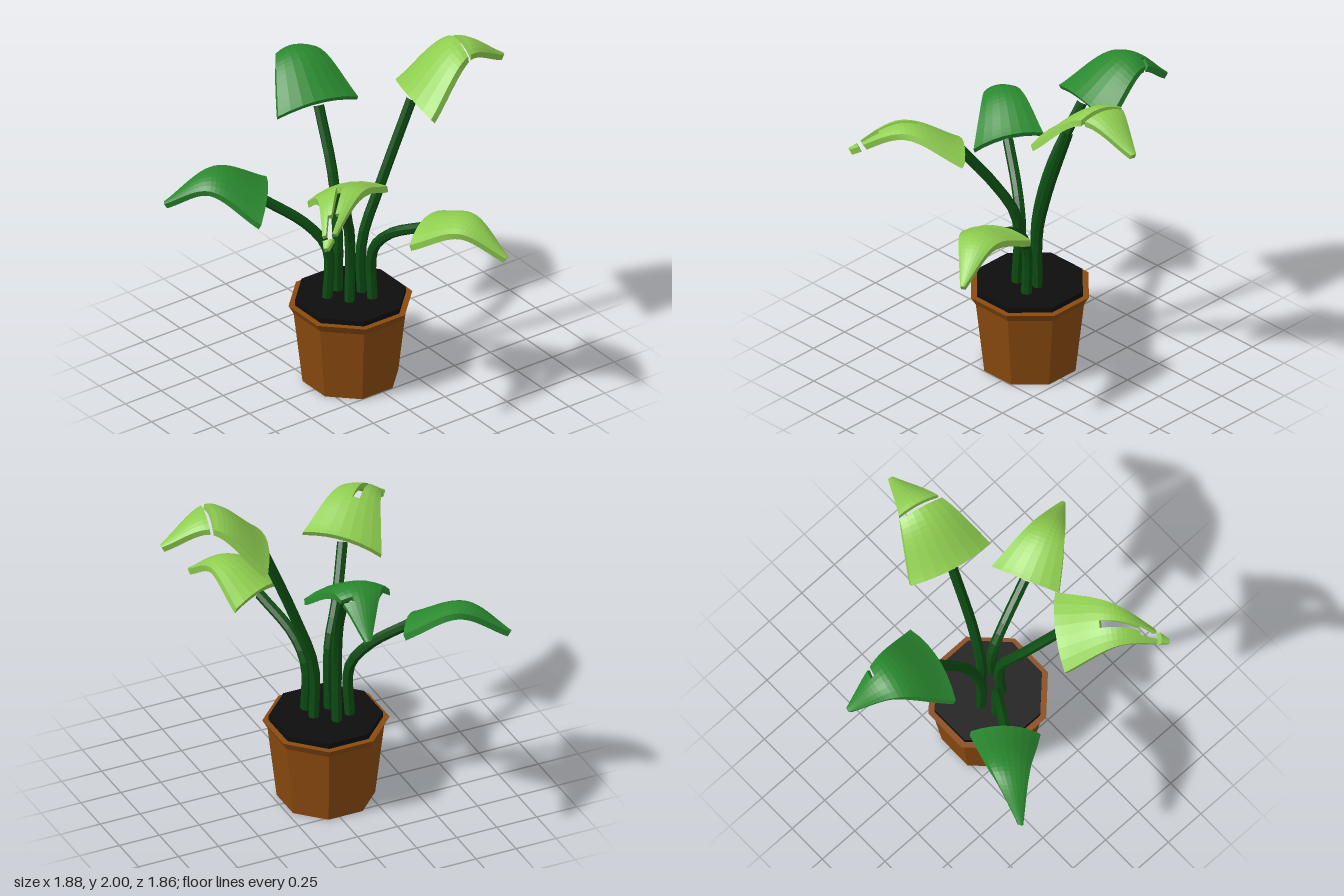
import * as THREE from 'three';

const mat = (name, color) => {
  const m = new THREE.MeshStandardMaterial({ color, flatShading: true });
  m.name = name;
  return m;
};
const curveOf = (...pts) => new THREE.CatmullRomCurve3(pts.map((p) => new THREE.Vector3(...p)));

// Arched, bent, tapering blade with thickness; skip(t, s) leaves tears in it
function leafGeometry({ base, peak, tip, half, skip = () => false }) {
  const rows = 24, cols = 7, thick = 0.018;
  const curve = curveOf(base, peak, tip);
  const side = new THREE.Vector3(...half);
  const width = side.length();
  const point = (i, j, face) => {
    const t = i / rows, s = (j / cols) * 2 - 1;
    const taper = 0.94 * (1 - t) + 0.06;
    const normal = side.clone().cross(curve.getTangent(t)).normalize();
    const lift = 0.28 * width * taper * (0.55 - s * s) + face * thick;
    return curve.getPoint(t).addScaledVector(side, s * taper).addScaledVector(normal, lift);
  };
  const solid = (i, j) => i >= 0 && j >= 0 && i < rows && j < cols
    && !skip((i + 0.5) / rows, ((j + 0.5) / cols) * 2 - 1);
  const pos = [];
  const quad = (a, b, c, d) => {
    for (const p of [a, b, c, a, c, d]) pos.push(p.x, p.y, p.z);
  };
  for (let i = 0; i < rows; i++) for (let j = 0; j < cols; j++) {
    if (!solid(i, j)) continue;
    const ring = [[i, j], [i, j + 1], [i + 1, j + 1], [i + 1, j]];
    const up = ring.map(([a, b]) => point(a, b, 1));
    const low = ring.map(([a, b]) => point(a, b, -1));
    quad(...up);
    quad(low[3], low[2], low[1], low[0]);
    // rim walls wherever the neighbouring cell is missing
    [[-1, 0], [0, 1], [1, 0], [0, -1]].forEach(([di, dj], k) => {
      const n = (k + 1) % 4;
      if (!solid(i + di, j + dj)) quad(up[k], low[k], low[n], up[n]);
    });
  }
  const g = new THREE.BufferGeometry();
  g.setAttribute('position', new THREE.Float32BufferAttribute(pos, 3));
  g.computeVertexNormals();
  return g;
}

// Stem: upright from root (x, z) to knee height, through the elbow to the leaf base.
// Leaf: arcs from base over peak to tip; half is the vector from its middle to its right corner.
const plants = [
  { name: 'back', tone: 'light', root: [0, -0.035], knee: 0.86, elbow: [0.03, 1.2, -0.14],
    base: [0.06, 1.71, -0.34], peak: [0.1, 1.965, -0.64], tip: [0.13, 1.82, -0.92],
    half: [0.25, 0.005, 0.06],
    skip: (t) => t > 0.5 && t < 0.54 },
  { name: 'rightBack', tone: 'light', root: [0.095, -0.04], knee: 0.83, elbow: [0.2, 0.98, -0.07],
    base: [0.45, 1.12, -0.155], peak: [0.71, 1.215, -0.255], tip: [0.93, 1.06, -0.36],
    half: [0.088, -0.01, 0.185] },
  { name: 'rightFront', tone: 'light', root: [0.047, 0.085], knee: 0.95, elbow: [0.13, 1.16, 0.17],
    base: [0.3, 1.43, 0.29], peak: [0.53, 1.57, 0.51], tip: [0.72, 1.4, 0.74],
    half: [-0.132, -0.05, 0.182],
    skip: (t, s) => t > 0.38 && t < 0.92 && (Math.abs(s) < (t > 0.72 ? 0.4 : 0.1) || t > 0.88) },
  { name: 'left', tone: 'dark', root: [-0.095, 0.065], knee: 0.88, elbow: [-0.18, 1.22, 0.035],
    base: [-0.38, 1.57, -0.012], peak: [-0.68, 1.75, -0.08], tip: [-0.92, 1.57, -0.135],
    half: [0.05, 0.005, -0.243],
    skip: (t, s) => t > 0.58 && t < 0.62 && s > 0.4 },
  { name: 'leftFront', tone: 'dark', root: [-0.063, 0.162], knee: 0.85, elbow: [-0.13, 1.01, 0.26],
    base: [-0.26, 1.17, 0.455], peak: [-0.44, 1.3, 0.69], tip: [-0.575, 1.15, 0.915],
    half: [-0.15, 0.045, -0.128] },
];

export function createModel() {
  const clay = mat('clay', 0x8a4a0f);
  const soilMat = mat('soil', 0x0d0d0d);
  const stemMat = mat('stem green', 0x0c4c12);
  const leafMats = { light: mat('light leaf green', 0x8fce50), dark: mat('dark leaf green', 0x2a892f) };
  const model = new THREE.Group();
  model.name = 'pottedPlant';
  const add = (geometry, material, name, parent = model) => {
    const mesh = new THREE.Mesh(geometry, material);
    mesh.name = name;
    parent.add(mesh);
    return mesh;
  };

  // Octagonal pot with a flared rim, flats facing the axes
  const k = 1 / Math.cos(Math.PI / 8);
  const profile = [[0, 0], [0.257, 0], [0.305, 0.45], [0.332, 0.5], [0.29, 0.5]]
    .map(([r, y]) => new THREE.Vector2(r * k, y));
  add(new THREE.LatheGeometry(profile, 8, Math.PI / 8), clay, 'pot').position.set(-0.01, 0, 0.037);
  add(new THREE.CylinderGeometry(0.298 * k, 0.298 * k, 0.05, 8, 1, false, Math.PI / 8), soilMat, 'soil')
    .position.set(-0.01, 0.507, 0.037);

  // Each stalk carries one drooping leaf
  for (const p of plants) {
    const stalk = new THREE.Group();
    stalk.name = p.name + 'Stalk';
    model.add(stalk);
    const [x, z] = p.root;
    const path = curveOf([x, 0.5, z], [x, p.knee, z], p.elbow, p.base);
    add(new THREE.TubeGeometry(path, 12, 0.031, 7), stemMat, p.name + 'Stem', stalk);
    add(leafGeometry(p), leafMats[p.tone], p.name + 'Leaf', stalk);
  }
  return model;
}
